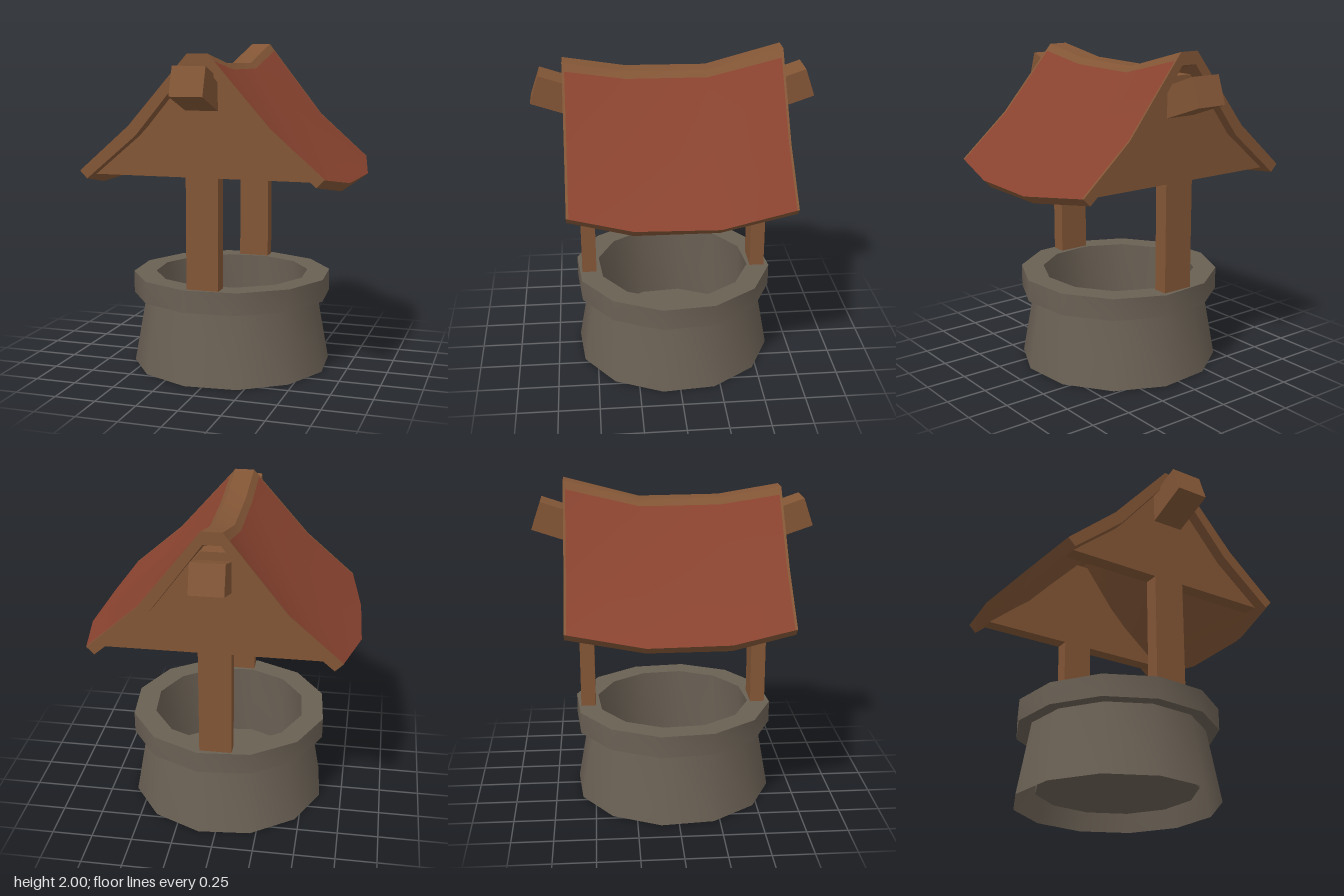
import * as THREE from 'three';
import { toCreasedNormals } from 'three/addons/utils/BufferGeometryUtils.js';

const mat = (name, color) => {
  const m = new THREE.MeshStandardMaterial({ color });
  m.name = name;
  return m;
};

// Roof cross-sections along z: ridge height, kink, eave top edge, eave bottom edge
const SECTIONS = [
  { z: -0.65, v: [2.0, 0.42, 1.54, 0.73, 1.265, 0.685, 1.22] },
  { z: -0.2, v: [1.88, 0.435, 1.505, 0.82, 1.205, 0.755, 1.155] },
  { z: 0.28, v: [1.885, 0.43, 1.505, 0.8, 1.205, 0.75, 1.155] },
  { z: 0.65, v: [1.945, 0.42, 1.535, 0.73, 1.265, 0.685, 1.22] },
];

// Section part of the way between two others
const between = (a, b, t) => ({
  z: a.z + (b.z - a.z) * t,
  v: a.v.map((n, i) => n + (b.v[i] - n) * t),
});

// Closed outline of one section: over the top from +x to -x, back underneath
function outline({ z, v: [ridgeY, kx, ky, ex, ey, bx, by] }) {
  const seamX = 0.095;
  const seamY = ridgeY + ((ky - ridgeY) * (seamX - 0.06)) / (kx - 0.06);
  const outer = [[ex, ey], [kx, ky], [seamX, seamY], [0.06, ridgeY]];
  const inner = [[0.05, ridgeY - 0.075], [kx - 0.045, ky - 0.055], [bx, by]];
  const flip = (list) => list.map(([x, y]) => [-x, y]).reverse();
  return [...outer, ...flip(outer), ...flip(inner), ...inner]
    .map(([x, y]) => new THREE.Vector3(x, y, z));
}

function roof(wood, tiles) {
  const s = SECTIONS;
  const rings = [s[0], between(s[0], s[1], 0.03), s[1], s[2], between(s[2], s[3], 0.96), s[3]].map(outline);
  const woodPts = [];
  const tilePts = [];
  const n = rings[0].length;
  for (let r = 0; r < rings.length - 1; r++) {
    const a = rings[r];
    const b = rings[r + 1];
    for (let i = 0; i < n; i++) {
      const j = (i + 1) % n;
      // tiles cover the slopes, leaving the ridge and end borders wooden
      const tiled = r > 0 && r < rings.length - 2 && [0, 1, 5, 6].includes(i);
      (tiled ? tilePts : woodPts).push(a[i], a[j], b[i], a[j], b[j], b[i]);
    }
  }
  // end caps
  const back = rings[0];
  const front = rings[rings.length - 1];
  const flat = (ring) => ring.map((p) => new THREE.Vector2(p.x, p.y));
  for (const [i, j, k] of THREE.ShapeUtils.triangulateShape(flat(front), []))
    woodPts.push(front[i], front[j], front[k]);
  for (const [i, j, k] of THREE.ShapeUtils.triangulateShape(flat(back), []))
    woodPts.push(back[k], back[j], back[i]);

  const group = new THREE.Group();
  group.name = 'roof';
  for (const [name, pts, m] of [['roofFrame', woodPts, wood], ['roofTiles', tilePts, tiles]]) {
    const g = toCreasedNormals(new THREE.BufferGeometry().setFromPoints(pts), 0.6);
    const mesh = new THREE.Mesh(g, m);
    mesh.name = name;
    group.add(mesh);
  }
  return group;
}

export function createModel() {
  const stone = mat('stone', 0x6a6054);
  stone.side = THREE.DoubleSide;
  const wood = mat('wood', 0x835636);
  const tiles = mat('red tiles', 0x89432f);

  const model = new THREE.Group();
  model.name = 'well';
  const add = (name, geometry, material, x = 0, y = 0, z = 0) => {
    const mesh = new THREE.Mesh(geometry, material);
    mesh.name = name;
    mesh.position.set(x, y, z);
    model.add(mesh);
    return mesh;
  };

  // Stone well: flared wall, overhanging rim, hollow shaft and raised floor
  const profile = [
    [0.62, 0], [0.54, 0.445], [0.62, 0.445], [0.62, 0.58],
    [0.48, 0.58], [0.49, 0.09], [0, 0.09],
  ].map(([x, y]) => new THREE.Vector2(x, y));
  const lathe = new THREE.LatheGeometry(profile, 12, THREE.MathUtils.degToRad(20));
  add('stoneWell', toCreasedNormals(lathe, 0.62), stone);

  // Gable outline, tucked into the roof thickness
  const half = [[0.7, 1.24], [0.4, 1.49], [0.07, 1.86]];
  const gable = new THREE.Shape(
    [...half, ...half.map(([x, y]) => [-x, y]).reverse()].map(([x, y]) => new THREE.Vector2(x, y)),
  );

  // Post, gable and tilted beam end at the front and back
  for (const [side, s] of [['front', 1], ['back', -1]]) {
    add(`${side}Post`, new THREE.BoxGeometry(0.195, 0.67, 0.09), wood, 0, 0.91, s * 0.535);
    add(`${side}Gable`, new THREE.ExtrudeGeometry(gable, { depth: 0.09, bevelEnabled: false }),
      wood, 0, 0, s * 0.535 - 0.045);
    const beam = add(`${side}BeamEnd`, new THREE.BoxGeometry(0.195, 0.175, 0.3), wood, 0, 1.748, s * 0.673);
    beam.rotation.x = -s * 0.33;
  }

  model.add(roof(wood, tiles));
  return model;
}
